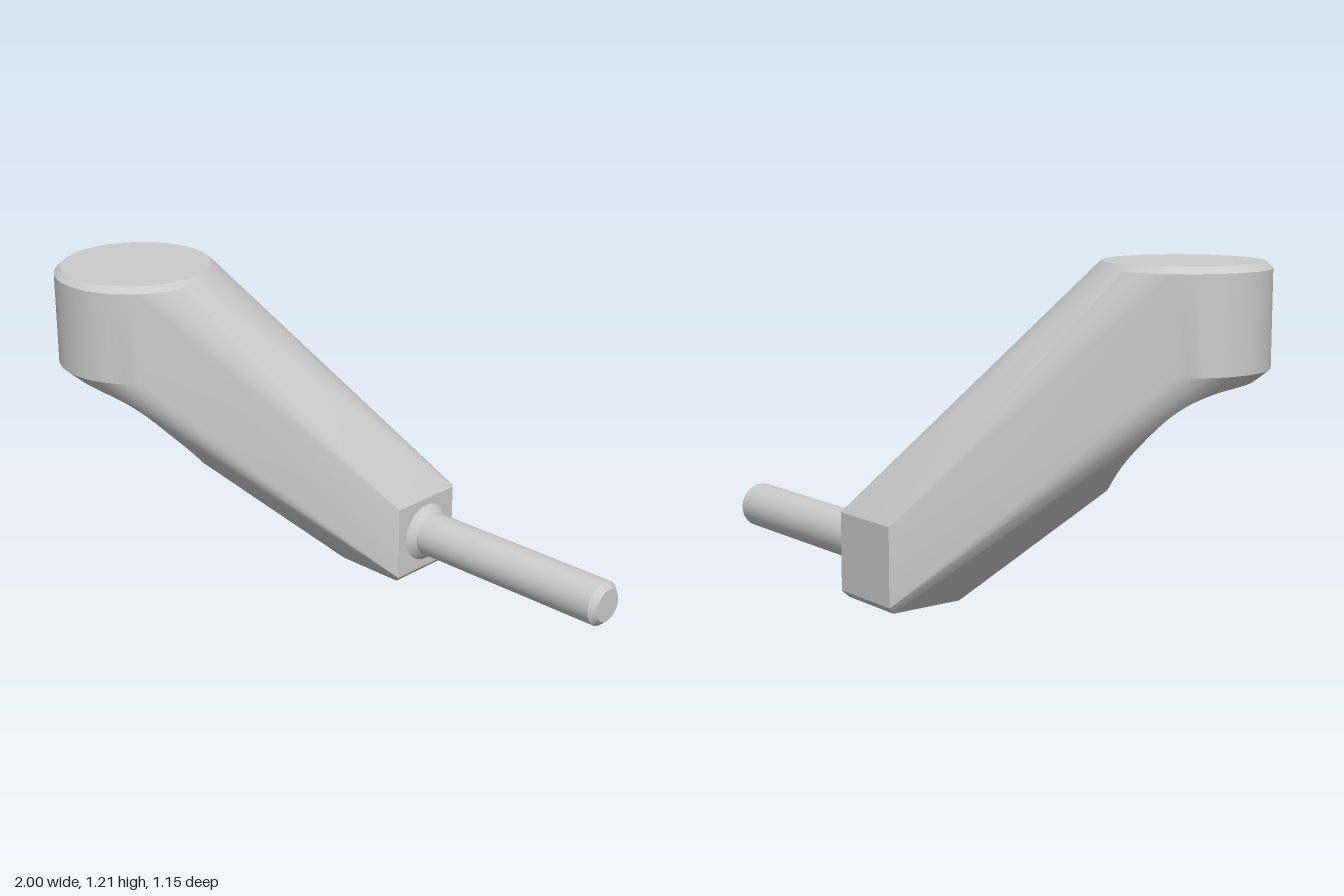
import * as THREE from 'three';
import { ConvexGeometry } from 'three/addons/geometries/ConvexGeometry.js';
import { toCreasedNormals } from 'three/addons/utils/BufferGeometryUtils.js';

const HEAD = { x: -0.7, z: 0.275, r: 0.3 };
const BORE_R = 0.25, BORE_TOP = 0.85, SEGS = 72;

// Horizontal ring of points around the head axis
function ring(r, y, n = SEGS) {
  return Array.from({ length: n }, (_, i) => {
    const a = (i / n) * Math.PI * 2;
    return new THREE.Vector3(HEAD.x + r * Math.cos(a), y, HEAD.z + r * Math.sin(a));
  });
}

// Chamfered round head and square foot, joined by their convex envelope
function armHull() {
  const points = [...ring(HEAD.r, BORE_TOP), ...ring(HEAD.r, 1.187), ...ring(0.276, 1.21)];
  for (const y of [0.025, 0.31]) {
    for (const [x, z] of [[-0.17, -0.575], [0.13, -0.575], [0.145, -0.56], [0.145, -0.255], [-0.17, -0.26]]) {
      points.push(new THREE.Vector3(x, y, z));
    }
  }
  for (const x of [-0.16, 0.122]) {
    for (const z of [-0.552, -0.27]) points.push(new THREE.Vector3(x, 0, z));
  }
  return new ConvexGeometry(points);
}

// Split a polygon by a signed distance: [positive part, negative part]
function split(poly, dist) {
  const out = [], inside = [];
  poly.forEach((p, i) => {
    const q = poly[(i + 1) % poly.length];
    const a = dist(p), b = dist(q);
    (a >= 0 ? out : inside).push(p);
    if ((a >= 0) !== (b >= 0)) {
      const m = p.clone().lerp(q, a / (a - b));
      out.push(m);
      inside.push(m);
    }
  });
  return [out, inside];
}

function armGeometry() {
  const pos = armHull().getAttribute('position');
  const bore = ring(BORE_R, BORE_TOP);
  const verts = [], underside = [];
  const emit = (poly) => {
    for (let i = 1; i + 1 < poly.length; i++) {
      const t = new THREE.Triangle(poly[0], poly[i], poly[i + 1]);
      if (t.getArea() > 1e-8) for (const p of [t.a, t.b, t.c]) verts.push(p.x, p.y, p.z);
    }
  };

  // Outer skin, with the bore cut out of every downward face
  for (let i = 0; i < pos.count; i += 3) {
    let poly = [0, 1, 2].map((k) => new THREE.Vector3().fromBufferAttribute(pos, i + k));
    const tri = new THREE.Triangle(...poly);
    const n = tri.getNormal(new THREE.Vector3());
    if (tri.getArea() < 1e-9) continue;
    if (n.y > -0.01) {
      emit(poly);
      continue;
    }
    underside.push({ n, d: n.dot(poly[0]) });
    for (let k = 0; k < SEGS && poly.length > 2; k++) {
      const a = ((k + 0.5) / SEGS) * Math.PI * 2;
      const edge = BORE_R * Math.cos(Math.PI / SEGS);
      const [out, inside] = split(poly, (p) =>
        (p.x - HEAD.x) * Math.cos(a) + (p.z - HEAD.z) * Math.sin(a) - edge);
      emit(out);
      poly = inside;
    }
  }

  // Bore wall down to the sloping underside, and its flat ceiling
  const floorAt = (p) => {
    const y = Math.max(...underside.map(({ n, d }) => (d - n.x * p.x - n.z * p.z) / n.y));
    return new THREE.Vector3(p.x, Math.min(y, BORE_TOP), p.z);
  };
  const lower = bore.map(floorAt);
  bore.forEach((p, i) => {
    const j = (i + 1) % SEGS;
    emit([p, bore[j], lower[j], lower[i]]);
  });
  emit(bore);

  const geometry = new THREE.BufferGeometry();
  geometry.setAttribute('position', new THREE.Float32BufferAttribute(verts, 3));
  return toCreasedNormals(geometry, 0.3);
}

// Turned stud with a flared collar and chamfered tip, laid along +x
function studGeometry() {
  const profile = [[0, 0.13], [0.113, 0.13], [0.113, 0.145], [0.085, 0.172], [0.085, 0.975], [0.062, 1], [0, 1]]
    .map(([r, x]) => new THREE.Vector2(r, x));
  const geometry = new THREE.LatheGeometry(profile, 48);
  geometry.rotateZ(-Math.PI / 2).translate(0, 0.17, -0.41);
  return toCreasedNormals(geometry, 0.4);
}

export function createModel() {
  const group = new THREE.Group();
  group.name = 'leverHandle';
  const material = new THREE.MeshStandardMaterial({ color: 0xcccccc, side: THREE.DoubleSide });
  const add = (name, geometry) => {
    const mesh = new THREE.Mesh(geometry, material);
    mesh.name = name;
    group.add(mesh);
  };
  add('arm', armGeometry());
  add('stud', studGeometry());
  return group;
}
